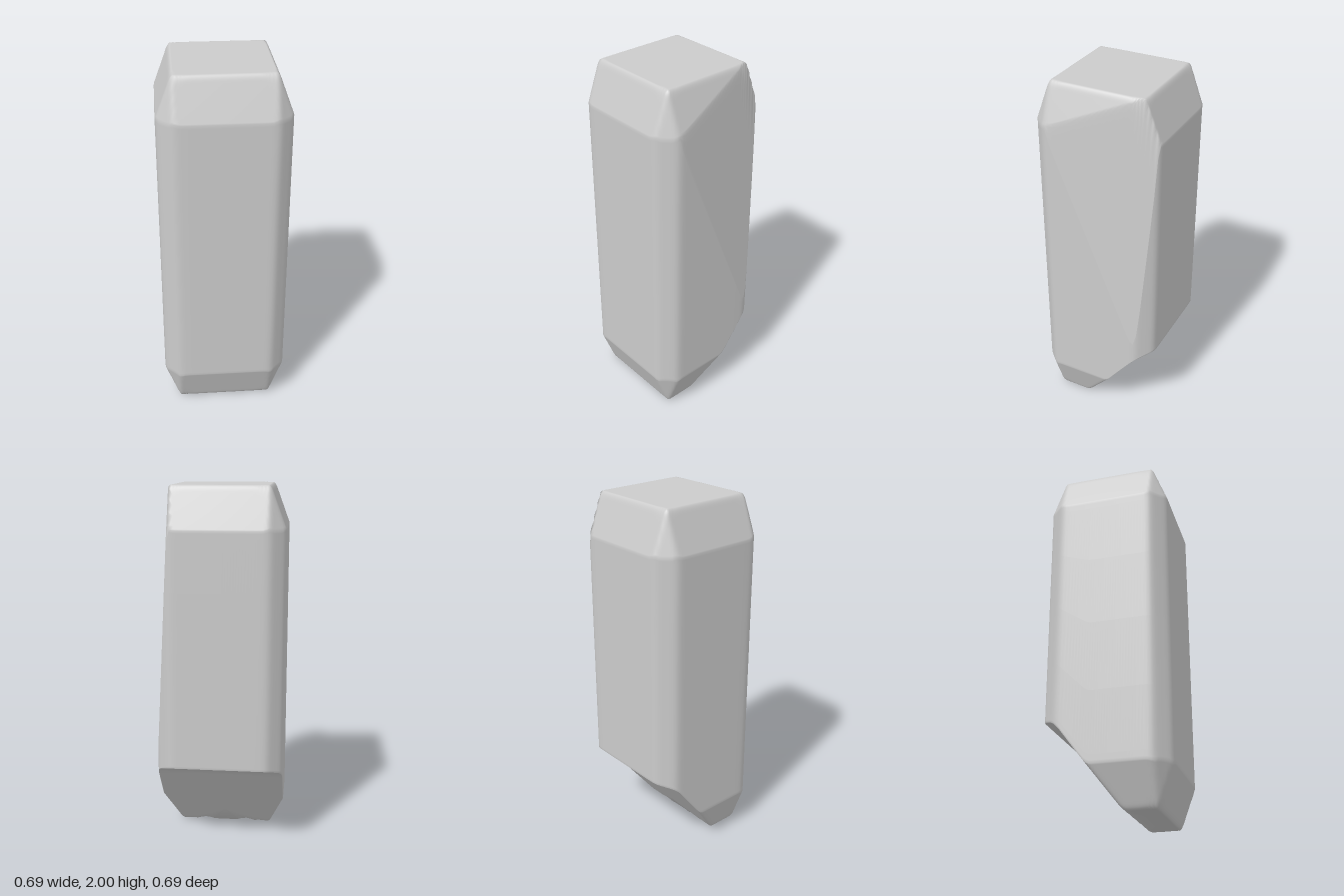
import * as THREE from 'three';

const R = 0.346;   // half width of the block
const C = 0.262;   // half width inside the chamfers
const TOP = 2, CHAMFER = 0.225;
const SLOPE = CHAMFER / (R - C);

// Maximum / minimum with a softly rounded crease
function softMax(a, b, k = 0.03) {
  const h = Math.max(k - Math.abs(a - b), 0) / k;
  return Math.max(a, b) + h * h * k * 0.25;
}
const softMin = (a, b, k) => -softMax(-a, -b, k);

// Height of the plane through three points, as a function of x and z
function planeHeight(...points) {
  const [a, b, c] = points.map((p) => new THREE.Vector3(...p));
  const n = b.clone().sub(a).cross(c.clone().sub(a));
  return (x, z) => a.y - (n.x * (x - a.x) + n.z * (z - a.z)) / n.y;
}

// Twisted facets where one back corner is shaved off
const cornerTop = [C, TOP, -C], cornerLow = [R, 0.5, -C];
const sideFacet = planeHeight(cornerTop, [R, TOP - CHAMFER, C], cornerLow);
const backFacet = planeHeight(cornerTop, cornerLow, [C, TOP - CHAMFER, -R]);

// Depth of the bevel that runs round both ends
function bevel(x, z) {
  const dx = Math.abs(x) - C, dz = Math.abs(z) - C;
  return softMax(softMax(softMax(dx, dz, 0.01) * SLOPE, (dx + dz) * SLOPE), 0);
}

function topHeight(x, z) {
  const y = TOP - bevel(x, z);
  return softMin(softMin(y, sideFacet(x, z)), backFacet(x, z));
}

// Underside: bevelled foot with a slanted cut and a small lip at the back
function bottomHeight(x, z) {
  const slant = (0.085 - z) * 1.33;
  const lip = 0.455 + (-0.255 - z) * 0.42;
  return softMax(bevel(x, z), softMin(slant, lip));
}

// Rounded octagon outline
function outline(angle) {
  const c = Math.abs(Math.cos(angle)), s = Math.abs(Math.sin(angle)), p = 50;
  const d = Math.pow((c / R) ** p + (s / R) ** p + ((c + s) / (R + C)) ** p, 1 / p);
  return [Math.cos(angle) / d, Math.sin(angle) / d];
}

function blockGeometry() {
  const around = 160;
  const scales = [0, 0.25, 0.5, 0.68];
  for (let i = 0; i <= 36; i++) scales.push(0.71 + 0.29 * i / 36);

  // Rings run from the middle of the underside, up the wall, to the middle of the top
  const rings = [
    ...scales.map((s) => [s, 0]),
    ...[0.01, 0.03, 0.25, 0.5, 0.75, 0.97, 0.99].map((t) => [1, t]),
    ...scales.slice().reverse().map((s) => [s, 1]),
  ];
  const position = [], index = [];
  rings.forEach(([s, t], i) => {
    for (let j = 0; j < around; j++) {
      const [ox, oz] = outline(j / around * Math.PI * 2);
      const x = ox * s, z = oz * s;
      position.push(x, THREE.MathUtils.lerp(bottomHeight(x, z), topHeight(x, z), t), z);
      if (i === rings.length - 1) continue;
      const a = i * around + j, b = i * around + (j + 1) % around;
      index.push(a, a + around, b, b, a + around, b + around);
    }
  });
  const geometry = new THREE.BufferGeometry();
  geometry.setAttribute('position', new THREE.Float32BufferAttribute(position, 3));
  geometry.setIndex(index);
  geometry.computeVertexNormals();
  return geometry;
}

export function createModel() {
  const group = new THREE.Group();
  group.name = 'chamferedBlock';
  const block = new THREE.Mesh(
    blockGeometry(),
    new THREE.MeshStandardMaterial({ color: 0xcccccc }),
  );
  block.name = 'block';
  group.add(block);
  return group;
}
